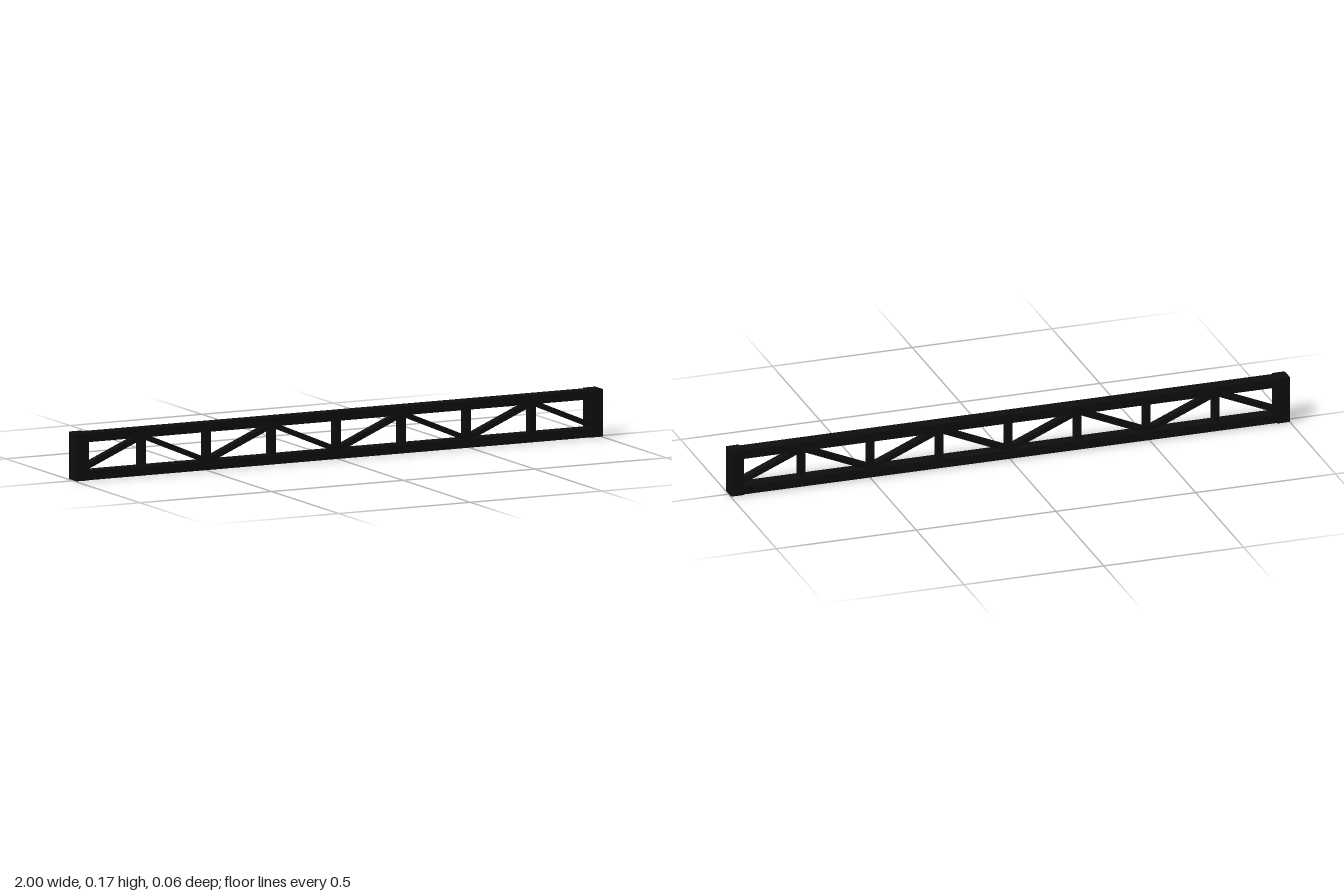
import * as THREE from 'three';

export function createModel() {
  const model = new THREE.Group();
  const black = new THREE.MeshStandardMaterial({ color: 0x0e0e0e });
  black.name = 'matte black';
  const teal = new THREE.MeshStandardMaterial({ color: 0x1fb5bd });
  teal.name = 'teal light';

  function box(name, w, h, d, x, y, material = black) {
    const mesh = new THREE.Mesh(new THREE.BoxGeometry(w, h, d), material);
    mesh.name = name;
    mesh.position.set(x, y, 0);
    model.add(mesh);
    return mesh;
  }

  // Long chords
  box('topChord', 1.96, 0.031, 0.047, 0, 0.148);
  box('bottomChord', 1.96, 0.031, 0.047, 0, 0.0175);

  // End plates
  for (const side of [-1, 1]) {
    box(side < 0 ? 'rightEndPlate' : 'leftEndPlate', 0.046, 0.163, 0.057, side * 0.977, 0.0835);
  }

  // Posts between the chords
  const bay = 0.247;
  for (let i = -3; i <= 3; i++) {
    box('post', 0.022, 0.125, 0.03, i * bay, 0.083);
  }

  // Diagonal braces, alternately rising and falling
  const low = 0.031, high = 0.136;
  for (let i = 0; i < 8; i++) {
    const rise = (i % 2 === 0 ? 1 : -1) * (high - low);
    const brace = box('brace', Math.hypot(bay, rise), 0.018, 0.028, (i - 3.5) * bay, (low + high) / 2);
    brace.rotation.z = Math.atan2(rise, bay);
  }

  // Light strip under the bottom chord
  box('lightStrip', 1.89, 0.004, 0.01, 0, 0.002, teal);

  return model;
}
